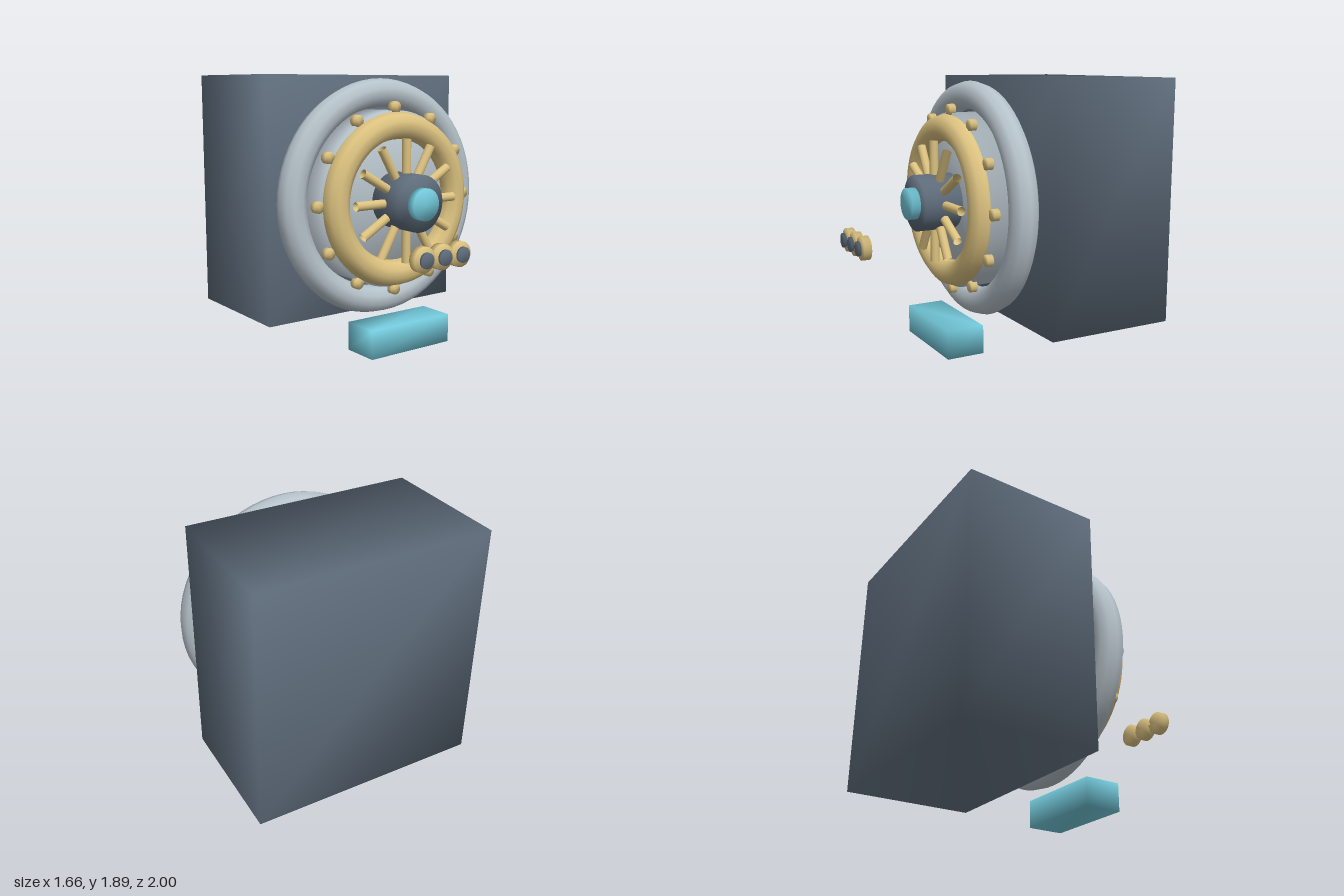
import * as THREE from 'three';
import { mergeVertices } from 'three/addons/utils/BufferGeometryUtils.js';

const paint = (name, color, side = THREE.FrontSide) => {
  const m = new THREE.MeshStandardMaterial({ color, side });
  m.name = name;
  return m;
};

// Weld corners so normals run smoothly around every edge
function soften(geometry) {
  geometry.deleteAttribute('uv');
  geometry.deleteAttribute('normal');
  const g = mergeVertices(geometry, 1e-4);
  g.computeVertexNormals();
  return g;
}

export function createModel() {
  const slate = paint('slate', 0x5f6d7c);
  const silver = paint('silver', 0xb6c2ca);
  const brass = paint('brass', 0xdcc280, THREE.DoubleSide);
  const cyan = paint('cyan', 0x74cadc);

  const model = new THREE.Group();
  model.name = 'vault';

  const add = (name, geometry, material, x, y, z, parent = model) => {
    const mesh = new THREE.Mesh(geometry, material);
    mesh.name = name;
    mesh.position.set(x, y, z);
    parent.add(mesh);
    return mesh;
  };
  const box = (w, h, d) => soften(new THREE.BoxGeometry(w, h, d));
  // Disc with its axis along z, placed by its back and front depth
  const disc = (name, radius, back, front, material, x, y, parent, sides = 48) =>
    add(name, soften(new THREE.CylinderGeometry(radius, radius, front - back, sides).rotateX(Math.PI / 2)),
      material, x, y, (back + front) / 2, parent);

  // Main body and floor step
  add('body', box(1.62, 1.71, 0.95), slate, 0, 1.035, -0.525);
  add('step', box(0.68, 0.2, 0.27), cyan, 0, 0.1, 0.355);

  // Round door with its rings
  const door = new THREE.Group();
  door.name = 'door';
  door.position.y = 1.035;
  model.add(door);
  disc('doorPlate', 0.615, -0.01, 0.298, silver, 0, 0, door, 64);
  add('doorRim', new THREE.TorusGeometry(0.732, 0.099, 10, 64), silver, 0, 0, 0.134, door);
  add('wheelRing', new THREE.TorusGeometry(0.511, 0.093, 10, 64), brass, 0, 0, 0.32, door);
  disc('hub', 0.195, 0.3, 0.574, slate, 0, 0, door);
  disc('hubCap', 0.11, 0.574, 0.635, cyan, 0, 0, door, 32);

  // Twelve hollow spokes and twelve bolts
  const inner = 0.18, outer = 0.425;
  const spokeShape = new THREE.CylinderGeometry(0.031, 0.031, outer - inner, 16, 1, true);
  for (let i = 0; i < 12; i++) {
    const a = (i / 12) * Math.PI * 2;
    const c = Math.cos(a), s = Math.sin(a), mid = (inner + outer) / 2;
    const spoke = add('spoke', spokeShape, brass, c * mid, s * mid, 0.425, door);
    spoke.rotation.z = a - Math.PI / 2;
    disc('bolt', 0.04, 0.27, 0.315, brass, c * 0.635, s * 0.635, door, 20);
  }

  // Row of three dials standing out in front
  for (const x of [-0.3, -0.15, 0]) {
    disc('dial', 0.083, 0.92, 0.972, brass, x, 0.76, model, 32);
    disc('dialFace', 0.051, 0.983, 1.0, slate, x, 0.76, model, 24);
  }
  return model;
}
